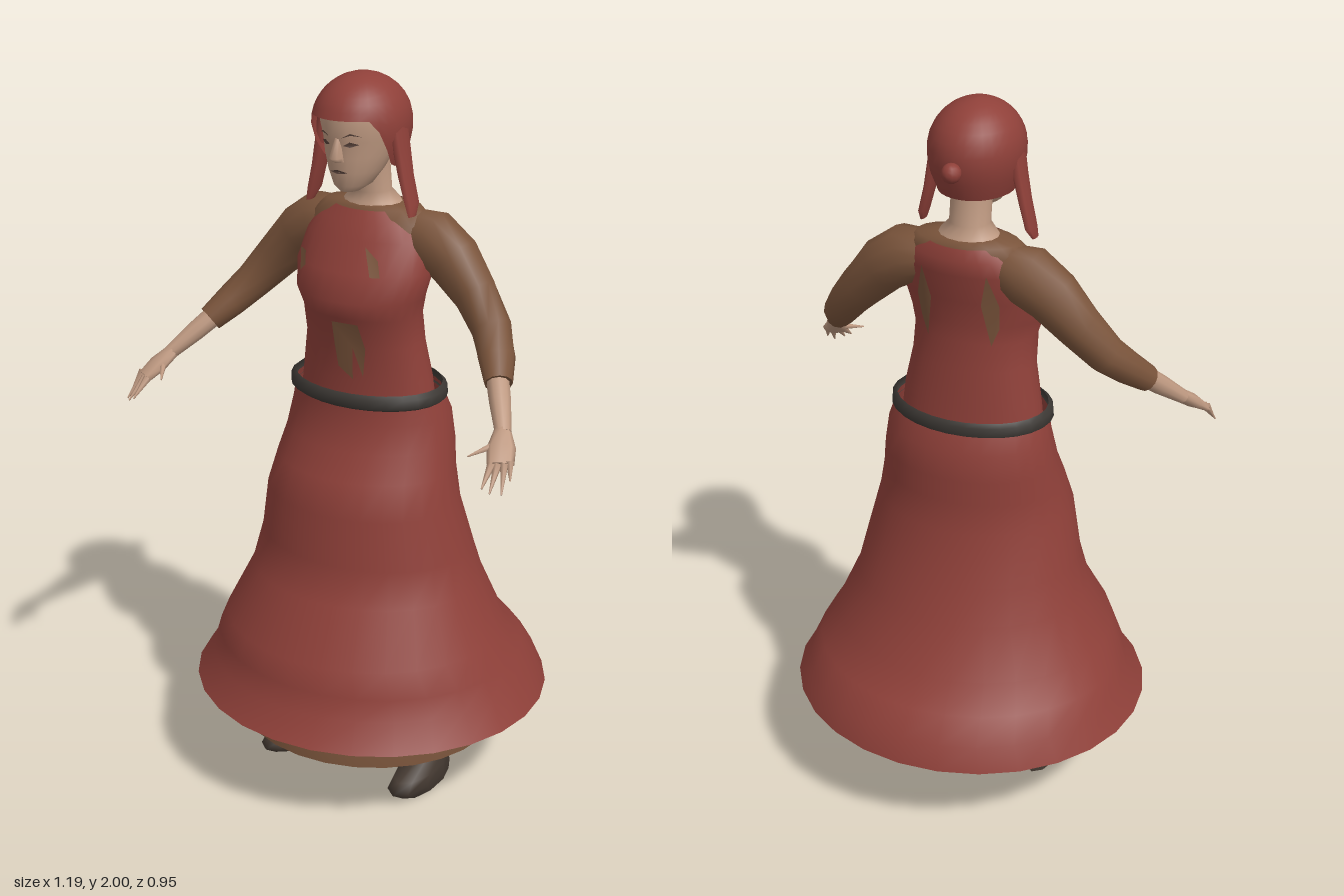
import * as THREE from 'three';

const mat = (name, color) => {
  const m = new THREE.MeshStandardMaterial({ color, side: THREE.DoubleSide });
  m.name = name;
  return m;
};

// Skin a list of equal-length point rings; optional fan caps at start and end.
function skin(rings, capStart = false, capEnd = false) {
  const n = rings[0].length, pos = [], idx = [];
  rings.forEach(r => r.forEach(p => pos.push(p.x, p.y, p.z)));
  for (let i = 0; i < rings.length - 1; i++) {
    for (let j = 0; j < n; j++) {
      const a = i * n + j, b = i * n + (j + 1) % n;
      idx.push(a, b, b + n, a, b + n, a + n);
    }
  }
  const cap = (ring, flip) => {
    const base = pos.length / 3, c = new THREE.Vector3();
    ring.forEach(p => { c.addScaledVector(p, 1 / n); pos.push(p.x, p.y, p.z); });
    pos.push(c.x, c.y, c.z);
    for (let j = 0; j < n; j++) {
      const a = base + j, b = base + (j + 1) % n;
      flip ? idx.push(b, a, base + n) : idx.push(a, b, base + n);
    }
  };
  if (capStart) cap(rings[0], true);
  if (capEnd) cap(rings[rings.length - 1], false);
  const g = new THREE.BufferGeometry();
  g.setAttribute('position', new THREE.Float32BufferAttribute(pos, 3));
  g.setIndex(idx);
  g.computeVertexNormals();
  return g;
}

// Upright loft: rows of [y, half width, front z, back z, centre x], y ascending.
function loft(rows, segs = 24, capStart = false, capEnd = false) {
  return skin(rows.map(([y, w, zf, zb, cx = 0]) => Array.from({ length: segs }, (_, j) => {
    const a = j / segs * Math.PI * 2;
    return new THREE.Vector3(cx + w * Math.sin(a), y, (zf + zb) / 2 + (zf - zb) / 2 * Math.cos(a));
  })), capStart, capEnd);
}

// Limb along a path: rows of [x, y, z, vertical radius, horizontal radius].
function limb(rows, segs = 10) {
  const pts = rows.map(r => new THREE.Vector3(r[0], r[1], r[2]));
  const up = new THREE.Vector3(0, 1, 0);
  return skin(rows.map((r, i) => {
    const t = pts[Math.min(i + 1, pts.length - 1)].clone().sub(pts[Math.max(i - 1, 0)]).normalize();
    const v = t.clone().cross(up).normalize(), u = v.clone().cross(t);
    return Array.from({ length: segs }, (_, j) => {
      const a = j / segs * Math.PI * 2;
      return pts[i].clone().addScaledVector(u, r[3] * Math.cos(a)).addScaledVector(v, r[4] * Math.sin(a));
    });
  }), true, true);
}

// Flat outline laid onto the front (1) or back (-1) of a loft.
function patch(rows, outline, dir = 1) {
  const g = new THREE.ShapeGeometry(new THREE.Shape(outline.map(p => new THREE.Vector2(...p))));
  const p = g.attributes.position;
  for (let i = 0; i < p.count; i++) {
    const x = p.getX(i), y = p.getY(i);
    const k = Math.max(0, Math.min(rows.length - 2, rows.findIndex(r => r[0] > y) - 1));
    const t = (y - rows[k][0]) / (rows[k + 1][0] - rows[k][0]);
    const [w, zf, zb] = [1, 2, 3].map(c => rows[k][c] + t * (rows[k + 1][c] - rows[k][c]));
    p.setZ(i, (zf + zb) / 2 + dir * ((zf - zb) / 2 * Math.sqrt(Math.max(0, 1 - (x / w) ** 2)) + 0.006));
  }
  if (dir < 0) g.setIndex(Array.from(g.index.array).reverse());
  g.computeVertexNormals();
  return g;
}

export function createModel() {
  const model = new THREE.Group();
  const red = mat('red cloth', 0x8f4039), brown = mat('brown cloth', 0x7a543b);
  const skinTone = mat('skin', 0xbd9880), belt = mat('dark belt', 0x3b3733);
  const shoe = mat('shoe leather', 0x453a32), linen = mat('pale linen', 0xb9b3a2);
  const dark = mat('face lines', 0x57423a);
  const add = (name, geo, m) => {
    const mesh = new THREE.Mesh(geo, m);
    mesh.name = name;
    model.add(mesh);
    return mesh;
  };

  // Skirts
  add('skirt', loft([
    [0.28, 0.505, 0.475, -0.478], [0.35, 0.463, 0.425, -0.455], [0.41, 0.44, 0.405, -0.40],
    [0.48, 0.40, 0.39, -0.335], [0.62, 0.335, 0.30, -0.27], [0.72, 0.31, 0.262, -0.23],
    [0.86, 0.278, 0.262, -0.19], [0.95, 0.258, 0.225, -0.182], [1.02, 0.245, 0.185, -0.185],
    [1.1, 0.23, 0.163, -0.178], [1.16, 0.213, 0.162, -0.15]], 28), red);
  add('underskirt', loft([[0.172, 0.375, 0.362, -0.342], [0.28, 0.37, 0.352, -0.332],
    [0.42, 0.335, 0.3, -0.28]], 28), brown);
  add('petticoat', loft([[0.145, 0.222, 0.222, -0.19], [0.25, 0.222, 0.222, -0.19]], 24), linen);
  add('underskirtLining', loft([[0.25, 0.36, 0.34, -0.32], [0.252, 0.36, 0.34, -0.32]], 28, true, true), brown);
  add('belt', loft([[1.14, 0.217, 0.166, -0.153], [1.148, 0.227, 0.177, -0.16],
    [1.172, 0.225, 0.177, -0.16], [1.182, 0.212, 0.166, -0.15]], 28), belt);

  // Bodice and the undershirt showing through it
  const bodice = [
    [1.1, 0.205, 0.13, -0.11], [1.2, 0.193, 0.125, -0.10], [1.3, 0.173, 0.135, -0.09],
    [1.38, 0.17, 0.158, -0.085], [1.43, 0.183, 0.178, -0.087], [1.5, 0.197, 0.15, -0.097],
    [1.58, 0.183, 0.112, -0.118], [1.62, 0.155, 0.09, -0.118], [1.65, 0.115, 0.07, -0.105]];
  add('bodice', loft(bodice, 28), red);
  add('yoke', loft([[1.56, 0.185, 0.09, -0.09], [1.62, 0.18, 0.075, -0.1], [1.652, 0.14, 0.06, -0.095],
    [1.66, 0.08, 0.05, -0.075]], 20, false, true), brown);
  add('frontTear', patch(bodice, [[-0.015, 1.37], [-0.02, 1.3], [-0.012, 1.24], [0.03, 1.21],
    [0.035, 1.3], [0.06, 1.22], [0.07, 1.3], [0.06, 1.37]]), brown);
  add('chestTear', patch(bodice, [[0.06, 1.57], [0.09, 1.5], [0.115, 1.5], [0.1, 1.54]]), brown);
  add('sideTear', patch(bodice, [[-0.16, 1.53], [-0.135, 1.48], [-0.115, 1.5], [-0.13, 1.53]]), brown);
  for (const s of [-1, 1]) {
    add('backTear', patch(bodice, [[s * 0.09, 1.59], [s * 0.07, 1.5], [s * 0.09, 1.38],
      [s * 0.11, 1.43], [s * 0.115, 1.5]], -1), brown);
  }

  // Neck and head
  add('neck', loft([[1.63, 0.1, 0.065, -0.09], [1.665, 0.078, 0.05, -0.075], [1.69, 0.054, 0.045, -0.058],
    [1.8, 0.052, 0.07, -0.05]], 16), skinTone);
  const head = [
    [1.708, 0.025, 0.125, 0.06], [1.725, 0.048, 0.138, 0.02], [1.76, 0.068, 0.145, -0.02],
    [1.8, 0.082, 0.15, -0.05], [1.84, 0.09, 0.152, -0.07], [1.88, 0.095, 0.163, -0.07],
    [1.92, 0.09, 0.155, -0.06]];
  add('head', loft(head, 20, true, true), skinTone);
  add('nose', loft([[1.79, 0.016, 0.16, 0.13], [1.802, 0.017, 0.178, 0.13], [1.85, 0.007, 0.16, 0.13]],
    8, true, true), skinTone);
  add('mouth', patch(head, [[-0.027, 1.763], [0, 1.759], [0.027, 1.763], [0, 1.77]]), dark);
  for (const s of [-1, 1]) {
    add('eye', patch(head, [[s * 0.02, 1.834], [s * 0.036, 1.83], [s * 0.055, 1.837], [s * 0.036, 1.844]]), dark);
    add('brow', patch(head, [[s * 0.016, 1.853], [s * 0.04, 1.862], [s * 0.062, 1.857], [s * 0.04, 1.867]]), dark);
  }

  // Hood: a dome whose lower edge is high over the face and low behind
  const hoodRings = [];
  for (let i = 0; i <= 10; i++) {
    hoodRings.push(Array.from({ length: 32 }, (_, j) => {
      const a = j / 32 * Math.PI * 2, turn = Math.min(a, Math.PI * 2 - a);
      const edge = 1.9 - 0.13 * THREE.MathUtils.smoothstep(turn, 0.75, 1.5);
      const f = 1 - i / 10;
      const y = 2 - (2 - edge) * f * f;
      const k = y > 1.875 ? Math.sqrt(Math.max(0, 1 - ((y - 1.875) / 0.125) ** 2)) : 1 - 18 * (1.875 - y) ** 2;
      return new THREE.Vector3(0.124 * k * Math.sin(a), y, 0.038 + 0.142 * k * Math.cos(a));
    }));
  }
  add('hood', skin(hoodRings), red);
  const bun = add('bun', new THREE.SphereGeometry(0.026, 12, 8), red);
  bun.position.set(0, 1.855, -0.118);

  for (const s of [-1, 1]) {
    const mirror = rows => rows.map(([x, ...rest]) => [s * x, ...rest]);

    // Hanging side lock
    add('sideLock', loft([[1.65, 0.006, 0.065, 0.03, s * 0.157], [1.68, 0.01, 0.07, 0.005, s * 0.15],
      [1.75, 0.012, 0.072, 0.005, s * 0.132], [1.82, 0.014, 0.075, 0, s * 0.118],
      [1.88, 0.014, 0.08, 0, s * 0.108]], 8, true, true), red);

    // Sleeve and forearm
    add('sleeve', limb(mirror([
      [0.1, 1.59, -0.025, 0.06, 0.06], [0.17, 1.575, -0.025, 0.08, 0.078], [0.24, 1.53, -0.025, 0.074, 0.068],
      [0.31, 1.455, -0.015, 0.062, 0.056], [0.375, 1.38, 0.01, 0.052, 0.052], [0.42, 1.325, 0.06, 0.044, 0.048],
      [0.455, 1.28, 0.11, 0.036, 0.036]]), 12), brown);
    add('forearm', limb(mirror([[0.43, 1.31, 0.08, 0.03, 0.03], [0.48, 1.25, 0.145, 0.027, 0.028],
      [0.525, 1.195, 0.205, 0.019, 0.021]])), skinTone);

    // Hand with pointed fingers
    add('hand', limb(mirror([[0.52, 1.2, 0.2, 0.019, 0.021], [0.54, 1.17, 0.24, 0.019, 0.036],
      [0.558, 1.142, 0.275, 0.012, 0.034]]), 8), skinTone);
    const fingers = [
      [[0.577, 1.15, 0.262], [0.592, 1.11, 0.285]], [[0.567, 1.145, 0.272], [0.587, 1.085, 0.318]],
      [[0.553, 1.143, 0.28], [0.565, 1.09, 0.338]], [[0.54, 1.143, 0.287], [0.545, 1.1, 0.342]],
      [[0.523, 1.175, 0.238], [0.48, 1.155, 0.3]]];
    for (const [a, b] of fingers) {
      add('finger', limb(mirror([[...a, 0.011, 0.011], [...b, 0.002, 0.002]]), 6), skinTone);
    }

    // Shoe
    const shoeGeo = loft([[0.005, 0.045, 0.17, -0.055, s * 0.22], [0.04, 0.058, 0.22, -0.055, s * 0.218],
      [0.065, 0.053, 0.19, -0.05, s * 0.218], [0.105, 0.038, 0.1, -0.045, s * 0.225],
      [0.135, 0.025, 0.03, -0.035, s * 0.228]], 10, true, true);
    add('shoe', shoeGeo, shoe);
  }
  return model;
}
